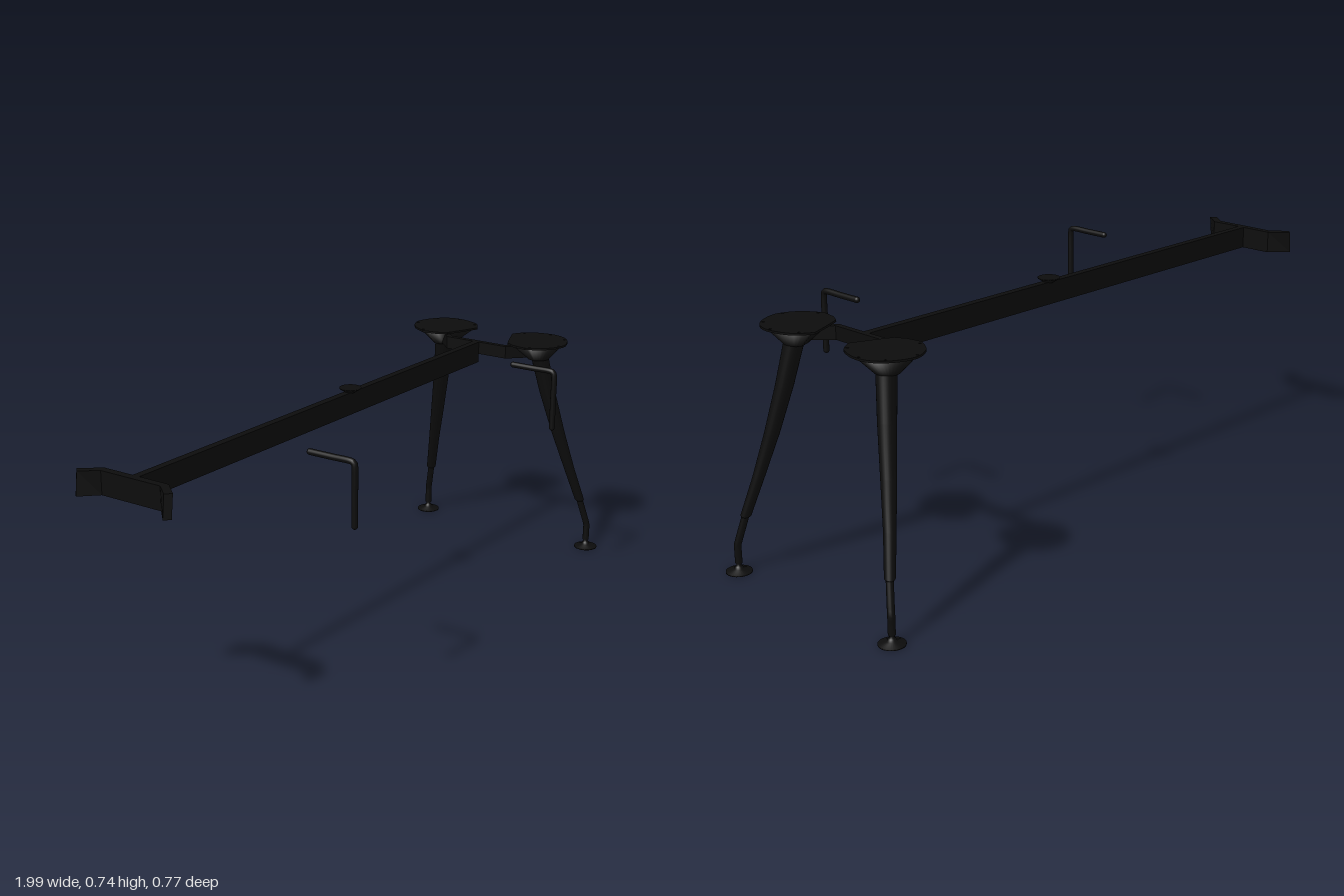
import * as THREE from 'three';

const V = (x, y, z) => new THREE.Vector3(x, y, z);
const black = new THREE.MeshStandardMaterial({ color: 0x0c0c0c });
const MID = -0.0225; // z of the beam, about which the frame is symmetric

function add(parent, name, geometry, x = 0, y = 0, z = 0) {
  const mesh = new THREE.Mesh(geometry, black);
  mesh.name = name;
  mesh.position.set(x, y, z);
  parent.add(mesh);
  return mesh;
}

// Skin over closed rings, listed from bottom to top
function loft(rings) {
  const n = rings[0].length, index = [];
  for (let r = 0; r < rings.length - 1; r++) {
    for (let i = 0; i < n; i++) {
      const a = r * n + i, c = r * n + (i + 1) % n;
      index.push(a, a + n, c, c, a + n, c + n);
    }
  }
  const g = new THREE.BufferGeometry().setFromPoints(rings.flat());
  g.setIndex(index);
  g.computeVertexNormals();
  return g;
}

// Outline in x and z extruded downwards from y = top
function slab(shape, top, height) {
  const g = new THREE.ExtrudeGeometry(shape, { depth: height, bevelEnabled: false });
  return g.rotateX(Math.PI / 2).translate(0, top, 0);
}

// Bent flat bar: straight across at x0, wings turning to x1
function wingBar(x0, z0, x1, z1, thickness, top, height) {
  const h = thickness / 2, s = Math.sign(x1 - x0);
  const side = o => [[x1 + o * 0.7, -z1 + s * o * 0.7], [x0 + o, -z0 + s * o * 0.4],
    [x0 + o, z0 - s * o * 0.4], [x1 + o * 0.7, z1 - s * o * 0.7]];
  const pts = [...side(h), ...side(-h).reverse()].map(p => new THREE.Vector2(...p));
  return slab(new THREE.Shape(pts), top, height);
}

function tube(points, radius, segments = 24) {
  const path = new THREE.CatmullRomCurve3(points, false, 'centripetal');
  return new THREE.TubeGeometry(path, segments, radius, 16);
}

const lathe = pts => new THREE.LatheGeometry(pts.map(p => new THREE.Vector2(...p)), 28);

function makeLeg() {
  const leg = new THREE.Group();
  // Head outline: three flat inner edges and a round outer edge
  const cx = 0.82, cz = 0.18;
  const arc = new THREE.SplineCurve([[0.85, 0.068], [0.895, 0.102], [0.918, 0.165], [0.912, 0.22],
    [0.875, 0.262], [0.81, 0.284], [0.748, 0.255], [0.71, 0.197]].map(p => new THREE.Vector2(...p)));
  const outline = [...arc.getPoints(28), new THREE.Vector2(0.718, 0.148),
    new THREE.Vector2(0.735, 0.117), new THREE.Vector2(0.79, 0.092)];
  const plate = new THREE.Shape(outline);
  for (const i of [3, 9, 15, 21, 27]) {
    const p = outline[i];
    const hole = new THREE.Path();
    hole.absarc(cx + (p.x - cx) * 0.92, cz + (p.y - cz) * 0.92, 0.004, 0, Math.PI * 2, true);
    plate.holes.push(hole);
  }
  add(leg, 'headPlate', slab(plate, 0.74, 0.006));

  // Tapered bowl under the plate
  const ring = (s, y, x, z) => outline.map(p => V(x + (p.x - cx) * s, y, z + (p.y - cz) * s));
  add(leg, 'headBowl', loft([ring(0.01, 0.68, 0.822, 0.186), ring(0.34, 0.68, 0.822, 0.186),
    ring(0.87, 0.734, cx, cz), ring(0.01, 0.734, cx, cz)]));

  // Splayed leg, slightly curved and thinner towards the foot
  const circle = ([x, y, z, r]) => Array.from({ length: 24 }, (_, i) => {
    const a = i / 24 * Math.PI * 2;
    return V(x + r * Math.cos(a), y, z + r * Math.sin(a));
  });
  add(leg, 'upperLeg', loft([[0.939, 0.172, 0.303, 0.001], [0.939, 0.17, 0.303, 0.012],
    [0.938, 0.175, 0.302, 0.0155], [0.908, 0.29, 0.273, 0.0175], [0.878, 0.42, 0.241, 0.022],
    [0.85, 0.56, 0.21, 0.026], [0.826, 0.69, 0.187, 0.029]].map(circle)));

  // Telescoping lower tube and levelling foot
  add(leg, 'lowerLeg', tube([V(0.934, 0.2, 0.296), V(0.944, 0.15, 0.308), V(0.954, 0.1, 0.32),
    V(0.957, 0.082, 0.324), V(0.957, 0.06, 0.324), V(0.957, 0.028, 0.324)], 0.0105));
  add(leg, 'foot', lathe([[0, 0], [0.038, 0], [0.038, 0.004], [0.014, 0.01], [0.011, 0.018],
    [0.006, 0.021], [0.008, 0.026], [0.006, 0.031], [0, 0.031]]), 0.957, 0, 0.324);
  return leg;
}

export function createModel() {
  const model = new THREE.Group();
  model.name = 'tableFrame';
  const frame = new THREE.Group();
  frame.name = 'frame';
  frame.position.z = MID;
  model.add(frame);

  // Long beam
  add(frame, 'beam', new THREE.BoxGeometry(1.675, 0.068, 0.023), -0.1075, 0.694, 0);

  // End bracket with wings whose tips lean slightly
  const bracket = wingBar(-0.937, 0.107, -0.988, 0.158, 0.023, 0.728, 0.068);
  const pos = bracket.attributes.position;
  for (let i = 0; i < pos.count; i++) {
    if (pos.getX(i) < -0.96 && pos.getY(i) > 0.7) pos.setX(i, pos.getX(i) + 0.008);
  }
  bracket.computeVertexNormals();
  add(frame, 'endBracket', bracket);

  // Crossbar joining the two legs
  add(frame, 'crossbar', wingBar(0.738, 0.11, 0.81, 0.182, 0.018, 0.728, 0.04));

  // Small support pad on the beam
  add(frame, 'supportPad', lathe([[0, 0], [0.012, 0], [0.033, 0.013], [0.033, 0.016], [0, 0.016]]),
    0.016, 0.724, 0);

  // Pair of mirrored legs
  for (const s of [1, -1]) {
    const leg = makeLeg();
    leg.name = s > 0 ? 'frontLeg' : 'backLeg';
    leg.scale.z = s;
    frame.add(leg);
  }

  // Two hanging hooks in front
  for (const x of [-0.517, 0.546]) {
    const hook = new THREE.Group();
    hook.name = x < 0 ? 'rightHook' : 'leftHook';
    hook.position.x = x;
    model.add(hook);
    add(hook, 'hookBar', tube([V(0, 0.731, 0.227), V(0, 0.731, 0.3), V(0, 0.731, 0.362),
      V(0, 0.728, 0.372), V(0, 0.718, 0.375), V(0, 0.64, 0.375), V(0, 0.55, 0.375)], 0.009, 48));
    const cap = new THREE.SphereGeometry(0.009, 16, 10);
    add(hook, 'hookTip', cap, 0, 0.55, 0.375);
    add(hook, 'hookEnd', cap, 0, 0.731, 0.228);
  }
  return model;
}
